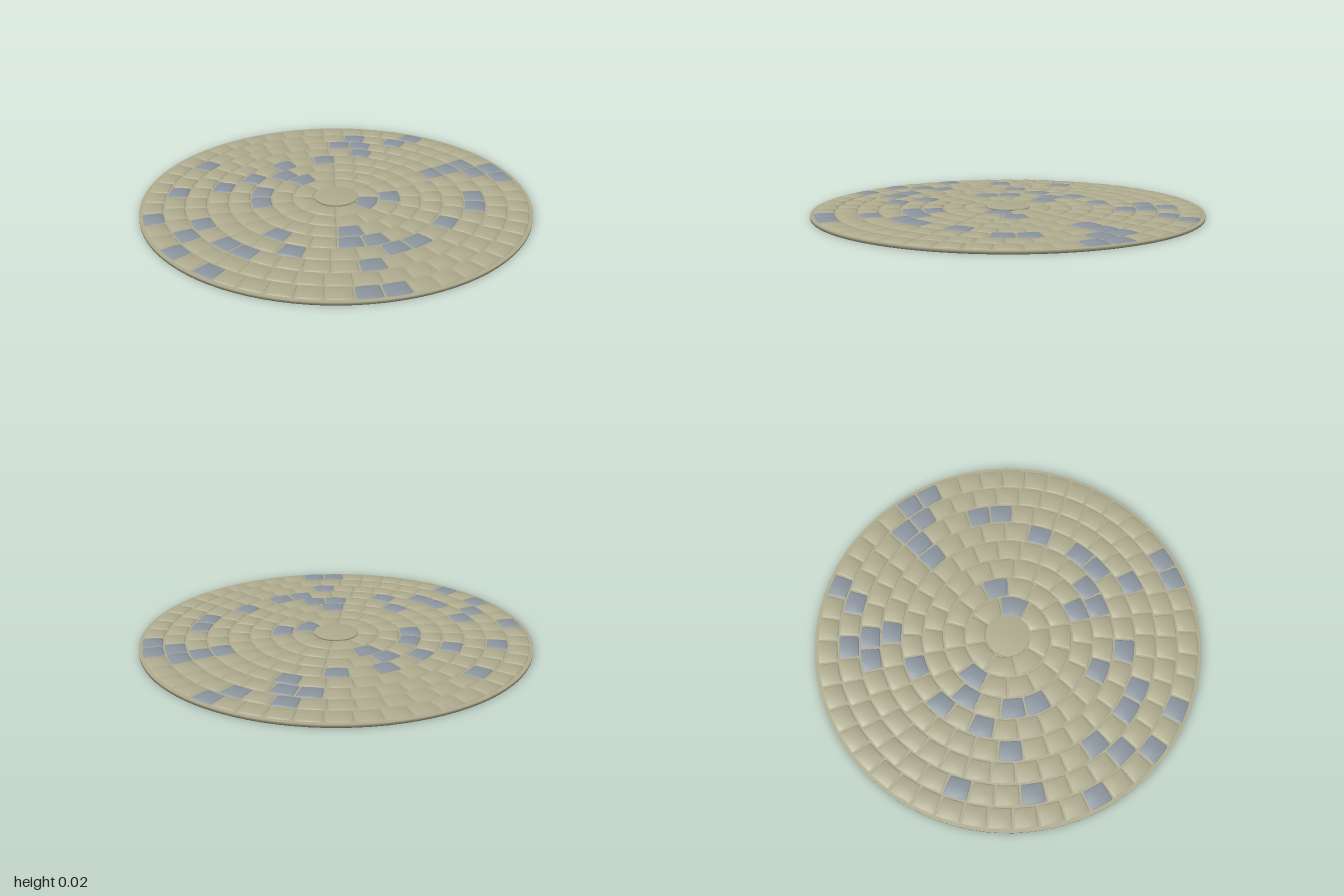
import * as THREE from 'three';
import { mergeGeometries } from 'three/addons/utils/BufferGeometryUtils.js';

const INNER = 0.115, WIDTH = 0.109, GAP = 0.004;
const BASE_TOP = 0.015, STONE_TOP = 0.024;

// Rings from the middle outwards: stone count and which stones are grey
const RINGS = [
  { count: 8, grey: [0] },
  { count: 14, grey: [0, 9] },
  { count: 20, grey: [4, 9, 10, 12] },
  { count: 26, grey: [5, 6, 9, 15, 17, 19] },
  { count: 31, grey: [2, 4, 5, 9, 16, 24, 28] },
  { count: 37, grey: [0, 1, 8, 13, 14, 16, 28, 29, 34] },
  { count: 42, grey: [17, 21, 24, 32, 34, 38, 39] },
  { count: 48, grey: [46, 40, 45, 22, 19, 17, 11, 10] },
];

// One pillow-shaped stone, bent around the centre; angles run clockwise from the back
function stoneGeometry(radius, angle, step) {
  const geo = new THREE.PlaneGeometry(2, 2, 4, 4);
  const pos = geo.attributes.position;
  const spread = (t) => (Math.abs(t) === 0.5 ? Math.sign(t) * 0.82 : t);
  for (let i = 0; i < pos.count; i++) {
    const u = spread(pos.getX(i)), v = spread(pos.getY(i));
    const r = radius + v * (WIDTH / 2 - GAP / 2);
    const a = angle + u * (step / 2 - GAP / 2 / radius);
    const rise = (1 - Math.abs(u) ** 8) * (1 - Math.abs(v) ** 8);
    const y = BASE_TOP - 0.002 + (STONE_TOP - BASE_TOP + 0.002) * rise;
    pos.setXYZ(i, Math.sin(a) * r, y, -Math.cos(a) * r);
  }
  geo.computeVertexNormals();
  return geo;
}

function disc(radius, bottom, top) {
  const points = [[0, bottom], [radius, bottom], [radius, top], [0, top]];
  return new THREE.LatheGeometry(points.map(([x, y]) => new THREE.Vector2(x, y)), 96);
}

export function createModel() {
  const group = new THREE.Group();
  const sand = new THREE.MeshStandardMaterial({ color: 0xb0ad90 });
  sand.name = 'sandStone';
  const grey = new THREE.MeshStandardMaterial({ color: 0x8c969f });
  grey.name = 'greyStone';

  const add = (name, geo, material) => {
    const mesh = new THREE.Mesh(geo, material);
    mesh.name = name;
    group.add(mesh);
  };

  add('base', disc(1, 0, BASE_TOP), sand);
  add('centreStone', disc(INNER - GAP / 2, BASE_TOP - 0.003, STONE_TOP), sand);

  // Paving rings; every other ring is shifted by half a stone
  RINGS.forEach((ring, k) => {
    const step = (Math.PI * 2) / ring.count;
    const radius = INNER + WIDTH * (k + 0.5);
    const shift = k % 2 === 0 ? 0.5 : 0;
    const sandStones = [], greyStones = [];
    for (let i = 0; i < ring.count; i++) {
      const angle = Math.PI / 2 + (i + shift) * step;
      // the two outermost rings both start on a stone centred at the back
      const stone = stoneGeometry(radius, angle, step);
      (ring.grey.includes(i) ? greyStones : sandStones).push(stone);
    }
    add(`ring${k + 1}SandStones`, mergeGeometries(sandStones), sand);
    add(`ring${k + 1}GreyStones`, mergeGeometries(greyStones), grey);
  });
  return group;
}
